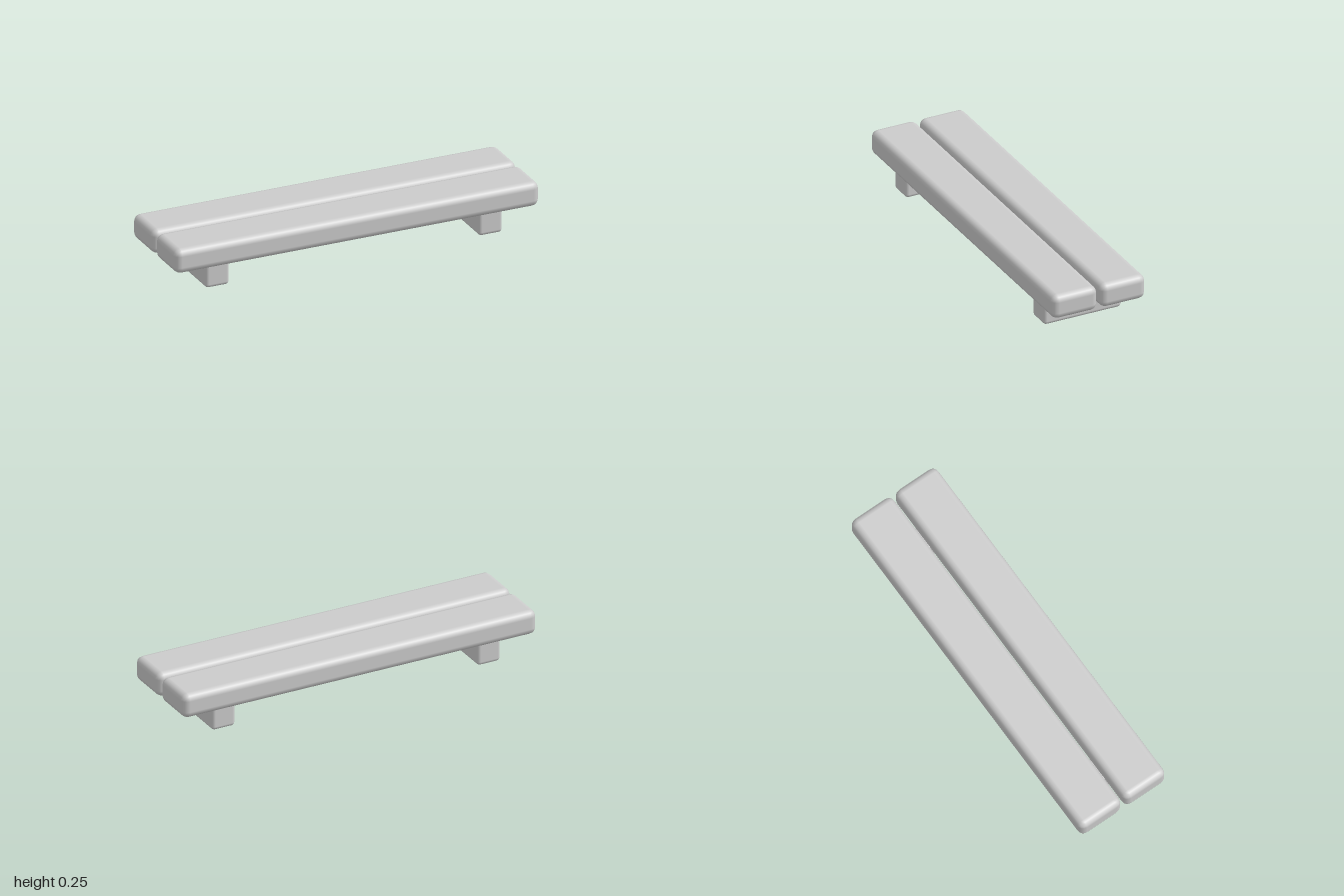
import * as THREE from 'three';
import { RoundedBoxGeometry } from 'three/addons/geometries/RoundedBoxGeometry.js';

export function createModel() {
  const bench = new THREE.Group();
  bench.name = 'lowBench';
  const material = new THREE.MeshStandardMaterial({ color: 0xcccccc });

  const addBlock = (name, size, radius, position) => {
    const mesh = new THREE.Mesh(new RoundedBoxGeometry(...size, 2, radius), material);
    mesh.name = name;
    mesh.position.set(...position);
    bench.add(mesh);
  };

  // Two long seat planks with a narrow gap between them
  addBlock('frontPlank', [2, 0.132, 0.253], 0.036, [0, 0.189, 0.1345]);
  addBlock('backPlank', [2, 0.132, 0.253], 0.036, [0, 0.189, -0.1345]);

  // Cross supports, sunk slightly into the planks
  for (const [name, side] of [['leftSupport', 1], ['rightSupport', -1]]) {
    addBlock(name, [0.13, 0.138, 0.434], 0.018, [side * 0.75, 0.069, 0]);
  }

  return bench;
}
